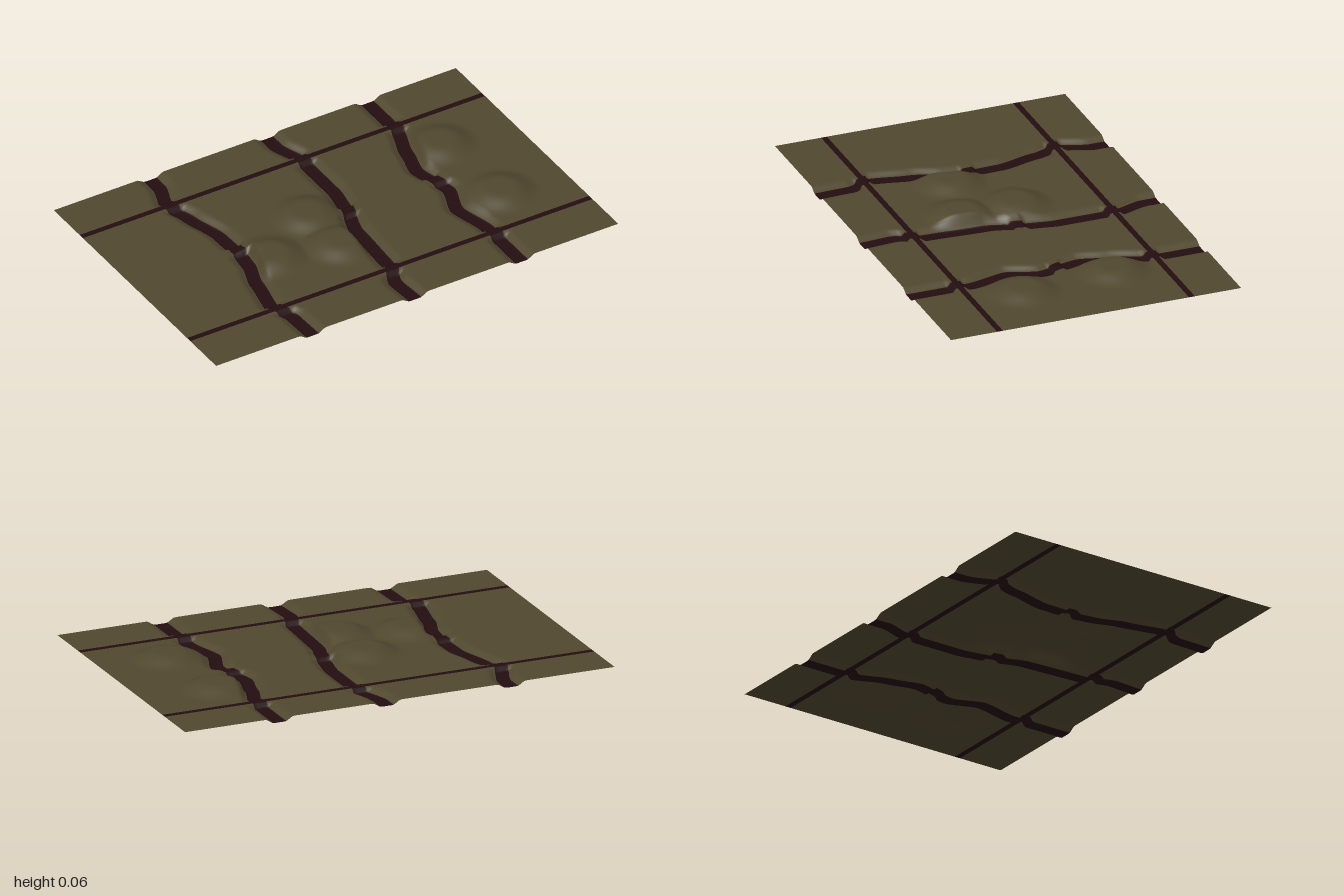
import * as THREE from 'three';

const HALF_X = 1, HALF_Z = 0.665;
const GROUND = 0.02, BED = 0, HILL_HEIGHT = 0.036;
const RIVER_HALF = 0.031, BANK_HALF = 0.068;
const PATH_Z = [-0.44, 0.44], PATH_HALF = 0.0135;

// River centre lines as [x, z] points
const RIVERS = [
  [[-0.52, -0.67], [-0.52, -0.59], [-0.565, -0.45], [-0.53, -0.34], [-0.485, -0.16], [-0.48, 0],
    [-0.49, 0.09], [-0.53, 0.22], [-0.565, 0.41], [-0.525, 0.51], [-0.52, 0.67]],
  [[0.06, -0.67], [0.06, -0.59], [0.1, -0.46], [0.1, -0.18], [0.08, -0.05], [0.035, 0.11],
    [0.02, 0.41], [-0.02, 0.52], [-0.01, 0.67]],
  [[0.56, -0.67], [0.56, -0.42], [0.51, -0.26], [0.48, -0.13], [0.525, 0.06], [0.48, 0.2],
    [0.52, 0.38], [0.52, 0.67]],
];

// Hill centres as [x, z]
const HILLS = [[-0.39, 0.11], [-0.1, -0.07], [-0.09, 0.18], [0.65, -0.22], [0.69, 0.21]];

// x of a river at a given z, eased between its points
function riverX(points, z) {
  let i = 0;
  while (i < points.length - 2 && z > points[i + 1][1]) i++;
  const [x0, z0] = points[i], [x1, z1] = points[i + 1];
  const t = THREE.MathUtils.clamp((z - z0) / (z1 - z0), 0, 1);
  return x0 + (x1 - x0) * (0.5 * t + 0.5 * t * t * (3 - 2 * t));
}

// Ground height: flat-topped hills, cut by river beds that rise at the crossings
function height(x, z) {
  const { smoothstep, lerp } = THREE.MathUtils;
  let hill = 0;
  for (const [hx, hz] of HILLS) {
    hill = Math.max(hill, 1 - smoothstep(Math.hypot(x - hx, z - hz), 0.055, 0.175));
  }
  let cut = 0;
  for (const river of RIVERS) {
    const d = Math.abs(x - riverX(river, z));
    cut = Math.max(cut, 1 - smoothstep(d, RIVER_HALF * 0.8, BANK_HALF));
  }
  for (const pz of PATH_Z) cut *= smoothstep(Math.abs(z - pz), 0.02, 0.036);
  cut *= lerp(0.25, 1, smoothstep(Math.abs(z + 0.02), 0.02, 0.036));
  return lerp(GROUND + HILL_HEIGHT * hill, BED, cut);
}

// Row positions, with exact rows on both edges of each path
function makeRows() {
  const stops = [-HALF_Z];
  for (const z of PATH_Z) stops.push(z - PATH_HALF, z + PATH_HALF);
  stops.push(HALF_Z);
  const rows = [], isPath = [];
  for (let s = 0; s < stops.length - 1; s++) {
    const n = s % 2 ? 3 : Math.round((stops[s + 1] - stops[s]) / 0.009);
    for (let i = 0; i < n; i++) {
      rows.push(stops[s] + (stops[s + 1] - stops[s]) * i / n);
      isPath.push(s % 2 === 1);
    }
  }
  rows.push(HALF_Z);
  return { rows, isPath };
}

// Column positions for one row, following both edges of every river
function makeColumns(z) {
  const stops = [-HALF_X];
  for (const river of RIVERS) {
    const x = riverX(river, z);
    stops.push(x - RIVER_HALF, x + RIVER_HALF);
  }
  stops.push(HALF_X);
  const columns = [], isRiver = [];
  for (let s = 0; s < stops.length - 1; s++) {
    const n = s % 2 ? 6 : 44;
    for (let i = 0; i < n; i++) {
      columns.push(stops[s] + (stops[s + 1] - stops[s]) * i / n);
      isRiver.push(s % 2 === 1);
    }
  }
  columns.push(HALF_X);
  return { columns, isRiver };
}

export function createModel() {
  const group = new THREE.Group();
  group.name = 'terrainTile';

  const earth = new THREE.MeshStandardMaterial({ color: 0x50472e, side: THREE.DoubleSide });
  earth.name = 'olive earth';
  const dark = new THREE.MeshStandardMaterial({ color: 0x230d10, side: THREE.DoubleSide });
  dark.name = 'dark maroon';

  // One height sheet, its faces sorted into land, rivers and paths
  const { rows, isPath } = makeRows();
  const positions = [];
  const faces = { land: [], rivers: [], paths: [] };
  rows.forEach((z, r) => {
    const { columns, isRiver } = makeColumns(z);
    for (const x of columns) positions.push(x, height(x, z), z);
    if (r === rows.length - 1) return;
    const width = columns.length;
    for (let c = 0; c < width - 1; c++) {
      const a = r * width + c, b = a + width;
      const part = isPath[r] ? 'paths' : isRiver[c] ? 'rivers' : 'land';
      faces[part].push(a, b, a + 1, b, b + 1, a + 1);
    }
  });

  const sheet = new THREE.BufferGeometry();
  sheet.setAttribute('position', new THREE.Float32BufferAttribute(positions, 3));
  sheet.setIndex([...faces.land, ...faces.rivers, ...faces.paths]);
  sheet.computeVertexNormals();

  // The parts share the sheet's points and smooth normals
  for (const [name, index] of Object.entries(faces)) {
    const geometry = new THREE.BufferGeometry();
    geometry.setAttribute('position', sheet.getAttribute('position'));
    geometry.setAttribute('normal', sheet.getAttribute('normal'));
    geometry.setIndex(index);
    const mesh = new THREE.Mesh(geometry, name === 'land' ? earth : dark);
    mesh.name = name;
    group.add(mesh);
  }
  return group;
}
